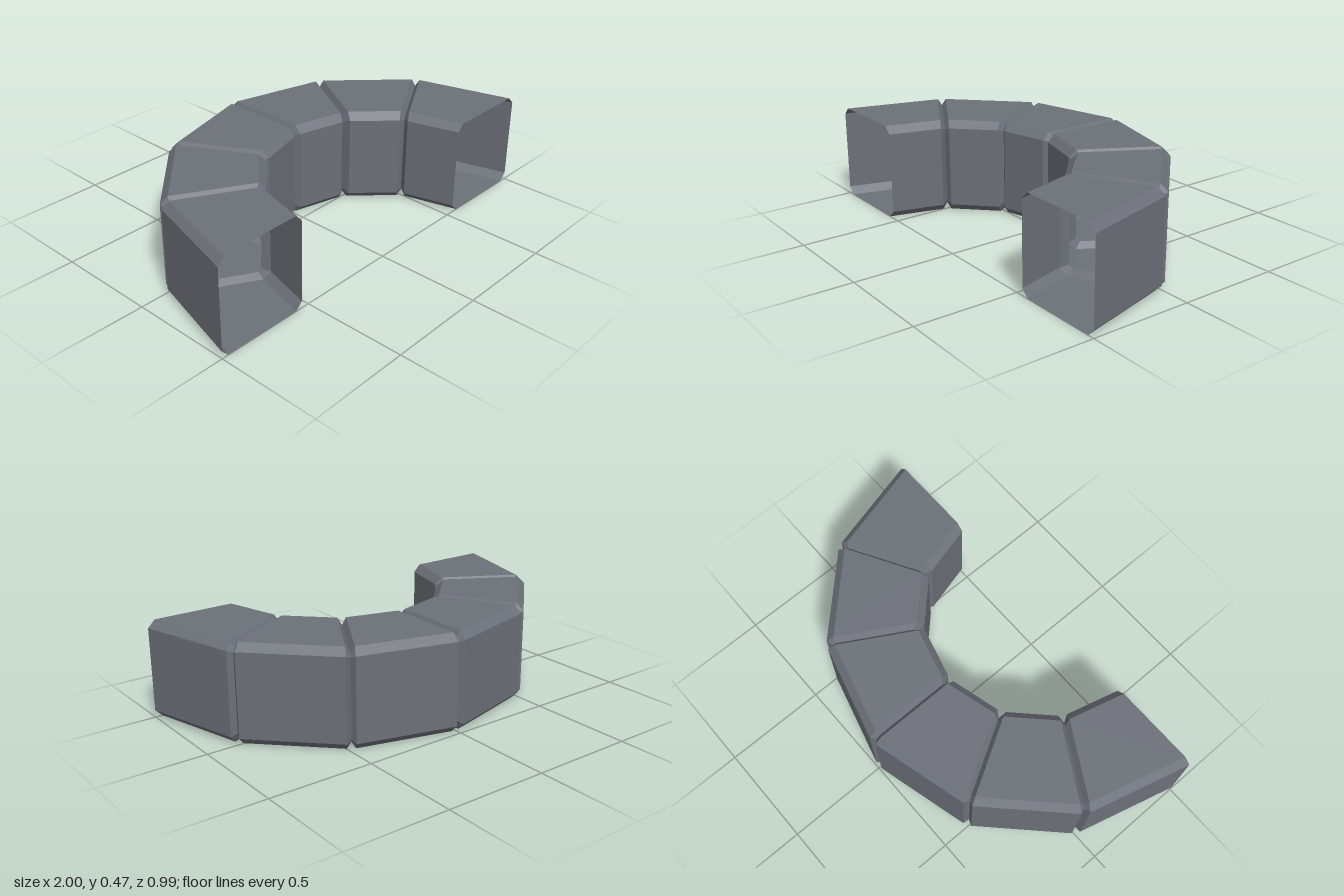
import * as THREE from 'three';

const INNER = 0.54, OUTER = 1, HEIGHT = 0.47, CENTRE_Z = 0.5;
const CHAMFER = 0.035, GROOVE_DEPTH = 0.03, GROOVE_HALF = 0.02;
const COUNT = 6, STEP = Math.PI / COUNT;

// Chamfered rectangular cross-section as [radius, y] points, counter-clockwise
function section(inset, c) {
  const r0 = INNER + inset, r1 = OUTER - inset, y0 = inset, y1 = HEIGHT - inset;
  return [
    [r0 + c, y0], [r1 - c, y0], [r1, y0 + c], [r1, y1 - c],
    [r1 - c, y1], [r0 + c, y1], [r0, y1 - c], [r0, y0 + c],
  ];
}

// Place a cross-section at an angle round the arch, shifted along the tangent
function ring(angle, shift, inset = 0, c = CHAMFER) {
  const slide = Math.abs(shift) * Math.tan(STEP / 2);
  const cos = Math.cos(angle), sin = Math.sin(angle);
  return section(inset, c).map(([r, y]) => {
    const q = r - slide;
    return [q * cos - shift * sin, y, CENTRE_Z - q * sin - shift * cos];
  });
}

// Narrower ring at the bottom of the groove between two segments
const grooveRing = (angle) => ring(angle, 0, GROOVE_DEPTH, CHAMFER - GROOVE_DEPTH * (2 - Math.SQRT2));

// Open shell joining successive rings, with separate corners for hard edges
function skin(rings) {
  const pos = [];
  for (let k = 0; k < rings.length - 1; k++) {
    const a = rings[k], b = rings[k + 1];
    for (let i = 0; i < a.length; i++) {
      const j = (i + 1) % a.length;
      pos.push(...a[i], ...b[i], ...a[j], ...a[j], ...b[i], ...b[j]);
    }
  }
  const geo = new THREE.BufferGeometry();
  geo.setAttribute('position', new THREE.Float32BufferAttribute(pos, 3));
  geo.computeVertexNormals();
  return geo;
}

export function createModel() {
  const model = new THREE.Group();
  model.name = 'curvedDuct';

  const metal = new THREE.MeshStandardMaterial({ color: 0x6c7078, flatShading: true, side: THREE.DoubleSide });
  metal.name = 'grey metal';

  // Six mitred segments; the two outer ends are plain and open
  for (let k = 0; k < COUNT; k++) {
    const start = k * STEP, end = start + STEP;
    const rings = [];
    if (k === 0) rings.push(ring(start, 0));
    else rings.push(grooveRing(start), ring(start, GROOVE_HALF));
    if (k === COUNT - 1) rings.push(ring(end, 0));
    else rings.push(ring(end, -GROOVE_HALF), grooveRing(end));
    const segment = new THREE.Mesh(skin(rings), metal);
    segment.name = `ductSegment${k + 1}`;
    model.add(segment);
  }
  return model;
}
